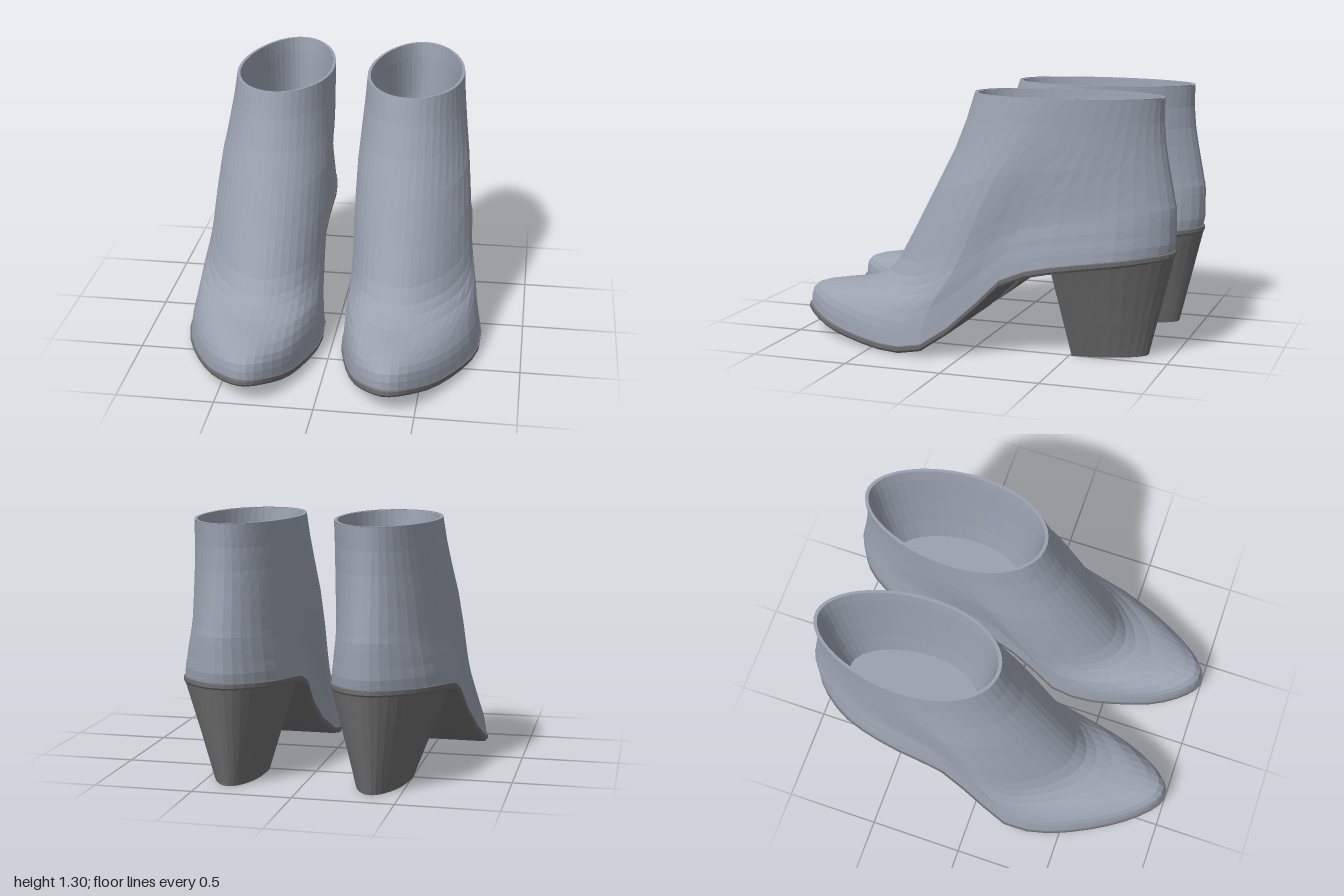
import * as THREE from 'three';

const N = 48;          // columns around each ring
const CX = 0.355;      // centre line of one boot
const lerp = THREE.MathUtils.lerp;

// Smooth curve through evenly spaced values over z = -1..1
function curve(values) {
  const n = values.length - 1;
  const c = new THREE.SplineCurve(values.map((v, i) => new THREE.Vector2(i / n, v)));
  return z => c.getPoint(THREE.MathUtils.clamp((z + 1) / 2, 0, 1)).y;
}

// Height of the seam between upper and sole, and the plump of each side
const seamY = curve([0.535, 0.52, 0.5, 0.47, 0.405, 0.205, 0.06, 0.04, 0.055, 0.08, 0.13]);
const innerPlump = curve([0.34, 0.34, 0.305, 0.265, 0.243, 0.238, 0.3, 0.322, 0.318, 0.315, 0.29]);
const outerPlump = curve([0.36, 0.39, 0.375, 0.36, 0.345, 0.375, 0.435, 0.44, 0.41, 0.365, 0.31]);

// Half width of the footprint at u = -1 (heel) .. 1 (toe); side > 0 is the outer side
const footWidth = (u, side) => (side > 0 ? outerPlump(u) : innerPlump(u)) * Math.sqrt(1 - u * u);
// Half width of the oval ankle opening
const ankleWidth = u => 0.259 * Math.sqrt(1 - u * u) * (1 + 0.1 * u);

// Ring of points around the boot; fn(u, side) returns [x offset, y, z]
function ring(fn) {
  const pts = [];
  for (let j = 0; j < N; j++) {
    const a = (j + 0.5) / N * Math.PI * 2;
    const side = Math.sin(a) > 0 ? 1 : -1;
    const [w, y, z] = fn(Math.cos(a), side);
    pts.push([CX + side * w, y, z]);
  }
  return pts;
}

// Skin a stack of rings; caps are strips across the ring
function loft(rings, mirror, { capStart = false, capEnd = false } = {}) {
  const n = rings[0].length, pos = [], idx = [];
  rings.forEach(r => r.forEach(([x, y, z]) => pos.push(x * mirror, y, z)));
  const quad = (a, b, c, d) => mirror > 0
    ? idx.push(a, b, c, a, c, d)
    : idx.push(a, c, b, a, d, c);
  for (let k = 0; k < rings.length - 1; k++) {
    for (let j = 0; j < n; j++) {
      const i = (j + 1) % n;
      quad(k * n + j, k * n + i, (k + 1) * n + i, (k + 1) * n + j);
    }
  }
  const last = (rings.length - 1) * n;
  for (let j = 0; j < n / 2 - 1; j++) {
    if (capStart) quad(j, n - 1 - j, n - 2 - j, j + 1);
    if (capEnd) quad(last + j, last + j + 1, last + n - 2 - j, last + n - 1 - j);
  }
  const g = new THREE.BufferGeometry();
  g.setAttribute('position', new THREE.Float32BufferAttribute(pos, 3));
  g.setIndex(idx);
  g.computeVertexNormals();
  return g;
}

// Upper: front z, front y, back z, back y, morph from footprint to ankle, width scale
const UPPER = [
  [0.988, 0.13, -0.99, 0.535, 0, 0.99],
  [0.986, 0.175, -0.995, 0.56, 0.02, 0.985],
  [0.975, 0.212, -1, 0.585, 0.04, 0.98],
  [0.945, 0.24, -1, 0.61, 0.07, 0.975],
  [0.88, 0.26, -1, 0.64, 0.11, 0.965],
  [0.78, 0.274, -1, 0.68, 0.16, 0.96],
  [0.67, 0.288, -1, 0.72, 0.23, 0.95],
  [0.58, 0.315, -0.998, 0.76, 0.31, 0.94],
  [0.52, 0.35, -0.99, 0.795, 0.38, 0.94],
  [0.46, 0.42, -0.983, 0.835, 0.46, 0.94],
  [0.36, 0.6, -0.97, 0.9, 0.6, 0.95],
  [0.25, 0.81, -0.955, 0.98, 0.75, 0.97],
  [0.15, 1.0, -0.94, 1.07, 0.87, 0.97],
  [0.085, 1.16, -0.93, 1.18, 0.95, 0.97],
  [0.04, 1.3, -0.93, 1.292, 1, 1],
];

function upperRing([zf, yf, zb, yb, morph, scale]) {
  const hf = yf - seamY(zf), hb = yb - seamY(zb);
  const bulge = 1 + 0.09 * Math.sin(Math.PI * morph ** 1.5);
  return ring((u, side) => {
    // The toe end draws back first, the sides follow higher up
    const t = (u + 1) / 2;
    const z = u - (1 - zf) * t ** lerp(2.3, 1, morph) + (zb + 1) * (1 - t);
    const bent = seamY(z) + lerp(hb, hf, t);
    return [
      lerp(footWidth(u, side) * scale, ankleWidth(u) * bulge, morph),
      lerp(bent, lerp(yb, yf, t), morph),
      z,
    ];
  });
}

// Lining: front z, back z, y, width scale
const LINING = [
  [0.04, -0.93, 1.297, 1],
  [0.022, -0.912, 1.297, 0.94],
  [0.01, -0.9, 1.22, 0.91],
  [-0.02, -0.88, 1.0, 0.87],
  [-0.06, -0.85, 0.78, 0.81],
  [-0.1, -0.82, 0.62, 0.74],
];
const liningRing = ([zf, zb, y, s]) =>
  ring(u => [ankleWidth(u) * s, y, lerp(zb, zf, (u + 1) / 2)]);

// Sole: drop below the seam, width scale, length scale
const SOLE = [[-0.032, 0.985, 0.99], [-0.02, 1.005, 1], [0, 1.008, 1], [0.006, 0.97, 0.985]];
const soleRing = ([dy, s, length]) => ring((u, side) => {
  const z = u * length;
  return [footWidth(u, side) * s, seamY(z) + dy, z];
});

// Heel: back part of the footprint with a flat breast, tapering to the ground
function heelRing(t) {
  const pts = [], n = 20, breast = Math.acos(0.455);
  for (let j = 0; j < n; j++) {
    const a = lerp(-breast, breast, j / (n - 1));
    const side = a < 0 ? 1 : -1;
    const z = -Math.cos(a) * 0.997;
    const w = footWidth(-Math.cos(a), side) * lerp(0.46, 1, t);
    pts.push([CX + side * w,
      lerp(0, seamY(z) - 0.01, t),
      lerp(-0.515 + (z + 0.455) * 0.66, z, t)]);
  }
  return pts;
}

function createBoot(mirror, name) {
  const boot = new THREE.Group();
  boot.name = name;
  const leather = new THREE.MeshStandardMaterial({
    color: 0x9aa2b0, flatShading: true, side: THREE.DoubleSide });
  const rubber = new THREE.MeshStandardMaterial({ color: 0x707070, flatShading: true });
  const add = (part, geometry, material) => {
    const mesh = new THREE.Mesh(geometry, material);
    mesh.name = part;
    boot.add(mesh);
  };
  add('upper', loft(UPPER.map(upperRing), mirror), leather);
  add('lining', loft(LINING.map(liningRing), mirror, { capEnd: true }), leather);
  add('sole', loft(SOLE.map(soleRing), mirror, { capStart: true }), rubber);
  add('heel', loft([0, 0.02, 0.35, 0.7, 1].map(heelRing), mirror, { capStart: true }), rubber);
  return boot;
}

export function createModel() {
  const group = new THREE.Group();
  group.name = 'ankleBoots';
  group.add(createBoot(1, 'leftBoot'), createBoot(-1, 'rightBoot'));
  return group;
}
